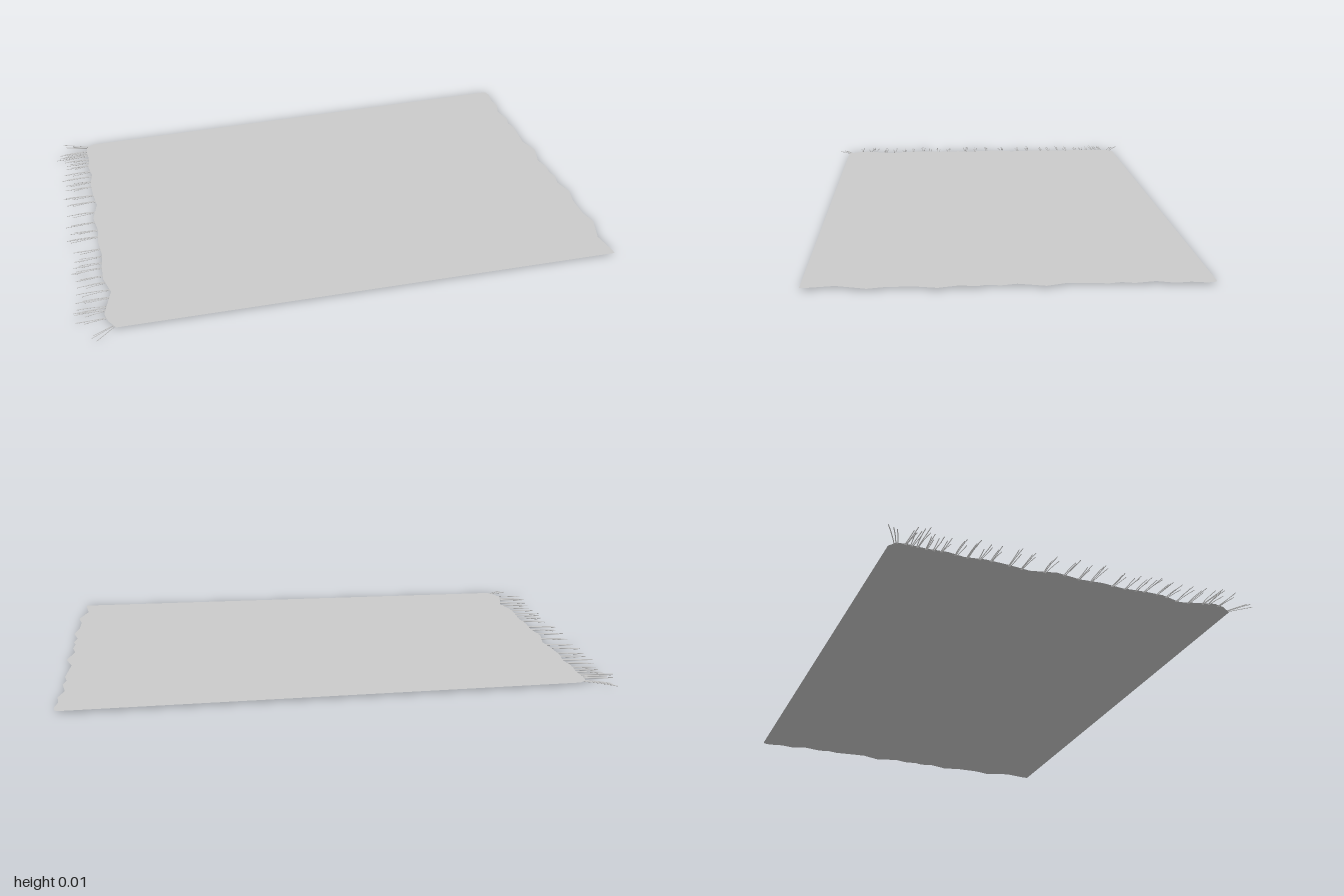
import * as THREE from 'three';
import { mergeGeometries } from 'three/addons/utils/BufferGeometryUtils.js';

const SHEET_Y = 0.008;

// Wavy short edges as [x, z], both running from back to front
const FRINGED_EDGE = [
  [-0.845, -0.62], [-0.87, -0.6], [-0.875, -0.57], [-0.87, -0.5], [-0.875, -0.43], [-0.865, -0.37],
  [-0.875, -0.3], [-0.87, -0.22], [-0.86, -0.14], [-0.88, -0.05], [-0.867, 0.04], [-0.872, 0.12],
  [-0.864, 0.2], [-0.87, 0.28], [-0.87, 0.35], [-0.848, 0.43], [-0.867, 0.5], [-0.88, 0.55],
  [-0.87, 0.59], [-0.845, 0.63],
];
const PLAIN_EDGE = [
  [0.97, -0.683], [0.98, -0.675], [0.984, -0.65], [0.975, -0.6], [0.983, -0.55], [0.965, -0.49],
  [0.98, -0.42], [0.97, -0.38], [0.98, -0.34], [0.97, -0.21], [0.995, -0.14], [0.972, -0.05],
  [0.985, 0], [0.98, 0.05], [0.99, 0.08], [0.98, 0.13], [1, 0.2], [0.985, 0.27],
  [0.985, 0.36], [1, 0.42], [0.97, 0.52], [0.985, 0.61], [0.985, 0.63],
];
const TUFTS = [
  -0.57, -0.55, -0.53, -0.5, -0.475, -0.45, -0.4, -0.36, -0.32, -0.28, -0.215, -0.17, -0.09, -0.02,
  0.035, 0.08, 0.16, 0.21, 0.25, 0.28, 0.33, 0.37, 0.415, 0.46, 0.51, 0.53, 0.57,
];

function seeded(seed) {
  return () => {
    seed = (seed * 16807) % 2147483647;
    return seed / 2147483647;
  };
}

// x of the fringed edge at a given z
function edgeX(z) {
  const i = FRINGED_EDGE.findIndex((p, k) => k > 0 && p[1] >= z);
  const [x0, z0] = FRINGED_EDGE[i - 1];
  const [x1, z1] = FRINGED_EDGE[i];
  return THREE.MathUtils.lerp(x0, x1, (z - z0) / (z1 - z0));
}

// One thread drooping from the cloth to the floor
function strand(x0, z0, x1, z1, bend) {
  const r = 0.0016;
  const curve = new THREE.QuadraticBezierCurve3(
    new THREE.Vector3(x0, SHEET_Y - r, z0),
    new THREE.Vector3((x0 + x1) / 2, 0.006, (z0 + z1) / 2 + bend),
    new THREE.Vector3(x1, r, z1),
  );
  return new THREE.TubeGeometry(curve, 4, r, 4);
}

export function createModel() {
  const model = new THREE.Group();
  model.name = 'rug';
  const material = new THREE.MeshStandardMaterial({ color: 0xcccccc, side: THREE.DoubleSide });

  // Flat cloth
  const outline = [...FRINGED_EDGE, ...[...PLAIN_EDGE].reverse()];
  const shape = new THREE.Shape(outline.map(([x, z]) => new THREE.Vector2(x, -z)));
  const clothGeometry = new THREE.ShapeGeometry(shape);
  clothGeometry.rotateX(-Math.PI / 2);
  const cloth = new THREE.Mesh(clothGeometry, material);
  cloth.name = 'cloth';
  cloth.position.y = SHEET_Y;
  model.add(cloth);

  // Fringe: small tufts of three threads along one short edge
  const rand = seeded(41);
  const spread = (a) => (rand() - 0.5) * 2 * a;
  const strands = [];
  TUFTS.forEach((z, i) => {
    const reach = i === 2 ? -1 : -0.975 + spread(0.012);
    for (let k = -1; k <= 1; k++) {
      const tip = reach + Math.abs(k) * (0.01 + rand() * 0.025);
      strands.push(strand(edgeX(z) + 0.005, z + k * 0.003, tip, z + k * 0.007 + spread(0.006), spread(0.005)));
    }
  });

  // Splayed threads at the two corners
  for (const [x0, z0, x1, z1] of [
    [-0.862, -0.605, -0.97, -0.655], [-0.865, -0.6, -0.96, -0.635], [-0.868, -0.595, -0.955, -0.622],
    [-0.85, 0.622, -0.915, 0.678], [-0.853, 0.617, -0.93, 0.66], [-0.855, 0.615, -0.925, 0.648],
  ]) strands.push(strand(x0, z0, x1, z1, 0.003));

  const fringe = new THREE.Mesh(mergeGeometries(strands), material);
  fringe.name = 'fringe';
  model.add(fringe);
  return model;
}
